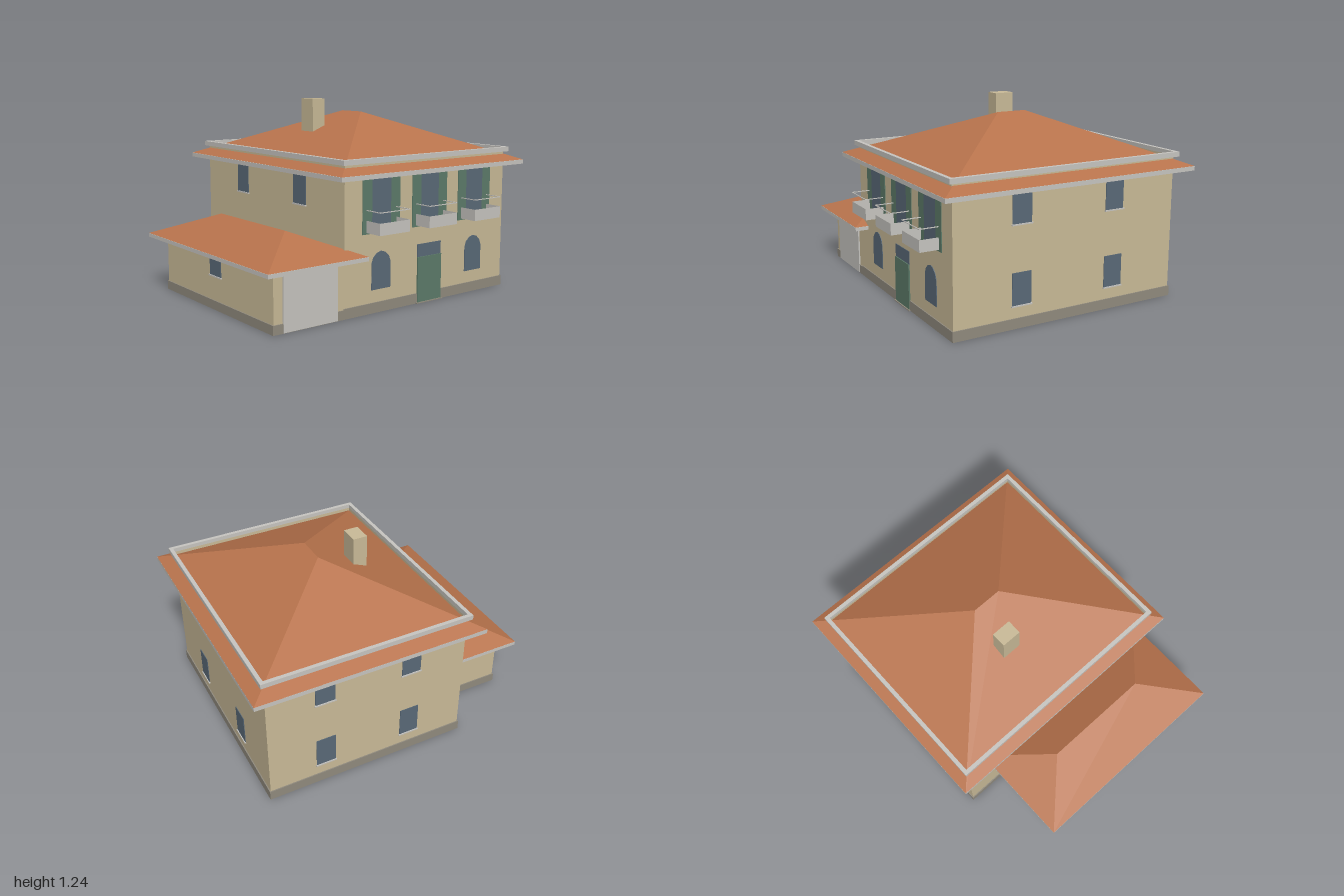
import * as THREE from 'three';

const mat = (name, color, side = THREE.FrontSide) => {
  const m = new THREE.MeshStandardMaterial({ color, side });
  m.name = name;
  return m;
};

export function createModel() {
  const house = new THREE.Group();
  house.name = 'house';

  const wall = mat('sand plaster', 0xcabb98, THREE.DoubleSide);
  const tile = mat('terracotta tile', 0xb8734c, THREE.DoubleSide);
  const trim = mat('light grey trim', 0xc8c6c1, THREE.DoubleSide);
  const stone = mat('base stone', 0x918b7e);
  const glass = mat('blue glass', 0x5a6a78);
  const green = mat('green paint', 0x5d7c6a);

  const add = (name, geo, material, parent = house) => {
    const m = new THREE.Mesh(geo, material);
    m.name = name;
    parent.add(m);
    return m;
  };

  // Box given by its limits
  const box = (x0, x1, y0, y1, z0, z1) =>
    new THREE.BoxGeometry(x1 - x0, y1 - y0, z1 - z0)
      .translate((x0 + x1) / 2, (y0 + y1) / 2, (z0 + z1) / 2);

  // Box keeping only some faces (0 +x, 1 -x, 2 +y, 3 -y, 4 +z, 5 -z)
  const openBox = (limits, faces) => {
    const g = box(...limits);
    const index = Array.from(g.index.array);
    g.setIndex(faces.flatMap((f) => index.slice(f * 6, f * 6 + 6)));
    g.clearGroups();
    return g;
  };

  // Horizontal rectangular frame; rects are [x0, x1, z0, z1]
  const frame = (outer, inner, y0, y1) => {
    const corners = ([x0, x1, z0, z1]) =>
      [[x0, -z0], [x1, -z0], [x1, -z1], [x0, -z1]].map((p) => new THREE.Vector2(...p));
    const s = new THREE.Shape(corners(outer));
    s.holes.push(new THREE.Path(corners(inner)));
    return new THREE.ExtrudeGeometry(s, { depth: y1 - y0, bevelEnabled: false })
      .rotateX(-Math.PI / 2).translate(0, y0, 0);
  };
  const grow = ([x0, x1, z0, z1], d) => [x0 - d, x1 + d, z0 - d, z1 + d];

  // Hip roof with its ridge along z and equal slopes on all sides
  const hipRoof = ([x0, x1, z0, z1], y, top) => {
    const cx = (x0 + x1) / 2, run = (x1 - x0) / 2;
    const a = [x0, y, z0], b = [x1, y, z0], c = [x1, y, z1], d = [x0, y, z1];
    const back = [cx, top, z0 + run], front = [cx, top, z1 - run];
    const tris = [d, c, front, b, a, back, c, b, back, c, back, front, a, d, front, a, front, back];
    const g = new THREE.BufferGeometry();
    g.setAttribute('position', new THREE.Float32BufferAttribute(tris.flat(), 3));
    g.computeVertexNormals();
    return g;
  };

  const main = [-0.42, 0.905, -0.78, 0.745];
  const annex = [-0.91, -0.42, -0.485, 0.745];
  const mainEave = [-0.51, 1, -0.87, 0.833];
  const annexEave = [-1, -0.31, -0.575, 0.833];
  const [X0, X1, Z0, Z1] = main;

  // Main building
  add('mainWalls', openBox([X0, X1, 0, 0.9, Z0, Z1], [0, 1, 4, 5]), wall);
  add('mainBase', frame(grow(main, 0.007), main, 0, 0.063), stone);
  add('mainEaves', frame(mainEave, main, 0.815, 0.842), trim);
  add('mainRoof', hipRoof(mainEave, 0.843, 1.148), tile);
  add('roofGutter', frame(grow(main, 0.025), main, 0.896, 0.926), trim);
  add('chimney', box(-0.07, 0.025, 0.98, 1.236, -0.16, -0.033), wall);

  // Garage wing
  add('garageWalls', openBox([annex[0], annex[1], 0, 0.36, annex[2], annex[3]], [1, 4, 5]), wall);
  add('garageBase', frame(grow(annex, 0.007), annex, 0, 0.056), stone);
  add('garageEaves', frame(annexEave, annex, 0.345, 0.369), trim);
  add('garageRoof', hipRoof(annexEave, 0.37, 0.51), tile);
  add('garageDoor', box(-0.85, -0.475, 0.003, 0.325, Z1 + 0.001, Z1 + 0.0105), trim);

  // Plain window with a sill; turn is the rotation of its outward side from +z
  const windowAt = (x, y0, y1, z, turn) => {
    const g = new THREE.Group();
    g.name = 'window';
    add('windowGlass', box(-0.064, 0.064, y0, y1, -0.004, 0.004), glass, g);
    add('windowSill', box(-0.069, 0.069, y0 - 0.008, y0, -0.004, 0.01), trim, g);
    g.position.set(x, 0, z);
    g.rotation.y = turn;
    house.add(g);
  };
  for (const [y0, y1] of [[0.14, 0.335], [0.62, 0.814]]) {
    for (const z of [0.307, -0.336]) {
      windowAt(X1, y0, y1, z, Math.PI / 2);
      if (y0 > 0.5) windowAt(X0, y0, y1, z, -Math.PI / 2);
    }
    for (const x of [-0.043, 0.533]) windowAt(x, y0, y1, Z0, Math.PI);
  }
  windowAt(annex[0], 0.21, 0.335, 0.13, -Math.PI / 2);

  // Balcony windows: shutters, glass, open parapet and handrail
  for (const x of [-0.145, 0.245, 0.635]) {
    const g = new THREE.Group();
    g.name = 'balcony';
    g.position.set(x, 0, Z1);
    house.add(g);
    add('balconyGlass', box(-0.073, 0.073, 0.48, 0.814, -0.004, 0.004), glass, g);
    for (const s of [-1, 1]) {
      add('shutter', box(-0.036, 0.036, 0.48, 0.814, -0.004, 0.004).translate(s * 0.109, 0, 0), green, g);
      add('sideRail', box(-0.0025, 0.0025, 0.62, 0.625, 0, 0.123).translate(s * 0.114, 0, 0), trim, g);
    }
    add('frontRail', box(-0.1165, 0.1165, 0.62, 0.625, 0.119, 0.124), trim, g);
    add('parapet', openBox([-0.115, 0.115, 0.49, 0.562, 0, 0.123], [0, 1, 4]), trim, g);
  }

  // Arched ground floor windows
  const half = [[0.073, 0.14], [0.073, 0.3], [0.06, 0.335], [0.033, 0.36]];
  const outline = [...half, [0, 0.37], ...half.map(([x, y]) => [-x, y]).reverse()];
  const arch = new THREE.Shape(outline.map((p) => new THREE.Vector2(...p)));
  for (const x of [-0.145, 0.635]) {
    const geo = new THREE.ExtrudeGeometry(arch, { depth: 0.008, bevelEnabled: false });
    add('archedWindow', geo, glass).position.set(x, 0, Z1 - 0.004);
  }

  // Front door with its fanlight and threshold
  add('frontDoor', box(0.147, 0.345, 0.006, 0.29, Z1 + 0.001, Z1 + 0.0105), green);
  add('doorFanlight', box(0.147, 0.345, 0.29, 0.37, Z1 - 0.004, Z1 + 0.004), glass);
  add('threshold', box(0.135, 0.357, 0, 0.006, Z1, Z1 + 0.018), stone);

  return house;
}
